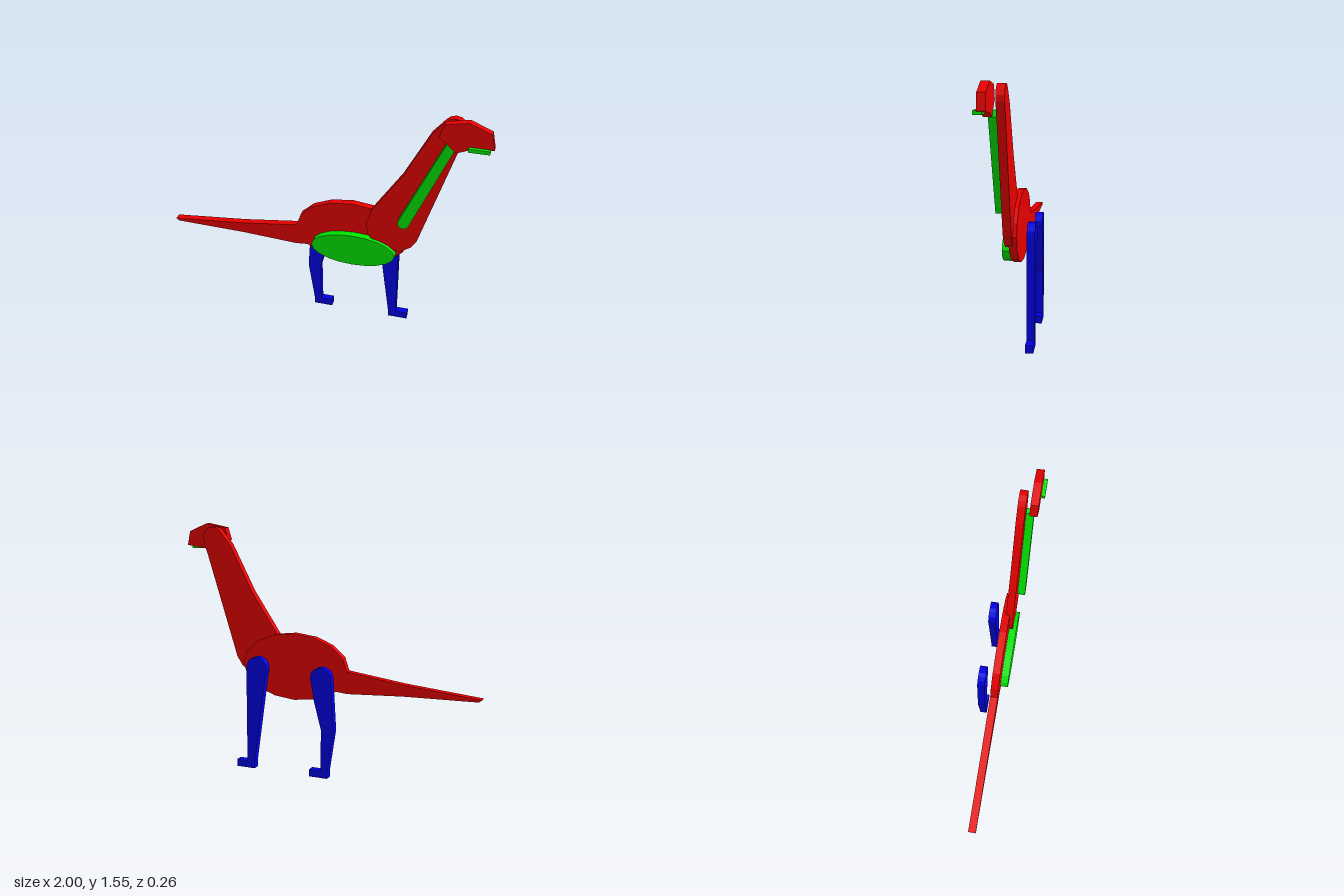
import * as THREE from 'three';

const DEPTH = 0.047; // every part is a plate of the same thickness

const material = (name, color) => {
  const m = new THREE.MeshStandardMaterial({ color });
  m.name = name;
  return m;
};

// Points along an elliptical arc, angles in degrees
function arc(cx, cy, rx, ry, from, to, steps) {
  const pts = [];
  for (let i = 0; i <= steps; i++) {
    const a = THREE.MathUtils.degToRad(from + ((to - from) * i) / steps);
    pts.push([cx + rx * Math.cos(a), cy + ry * Math.sin(a)]);
  }
  return pts;
}

// Flat plate cut from an outline, with its back face at z
function plate(name, outline, z, mat) {
  const shape = new THREE.Shape(outline.map(([x, y]) => new THREE.Vector2(x, y)));
  const geo = new THREE.ExtrudeGeometry(shape, { depth: DEPTH, bevelEnabled: false });
  const mesh = new THREE.Mesh(geo, mat);
  mesh.name = name;
  mesh.position.z = z;
  return mesh;
}

export function createModel() {
  const red = material('red', 0xf00000);
  const green = material('green', 0x00f000);
  const blue = material('blue', 0x0000f0);
  const model = new THREE.Group();
  model.name = 'longNeckedDinosaur';

  // Oval body running into a tapered tail
  const bodyAndTail = [
    ...arc(0.19, 0.669, 0.355, 0.212, -135, 180, 14),
    [-0.53, 0.62], [-1, 0.575], [-0.98, 0.56], [-0.53, 0.55], [-0.17, 0.53], [-0.095, 0.537],
  ];

  // Neck, broad at the shoulder and rounded at the top
  const neck = [
    [0.285, 0.77], [0.298, 0.70], [0.345, 0.635], [0.42, 0.602], [0.5, 0.605],
    [0.565, 0.645], [0.602, 0.70], [0.80, 1.345],
    ...arc(0.765, 1.455, 0.07, 0.075, -10, 140, 6),
    [0.64, 1.42], [0.49, 1.13], [0.31, 0.86],
  ];

  const neckStripe = [
    ...arc(0.52, 0.838, 0.035, 0.036, 160, 345, 7),
    [0.78, 1.36], [0.77, 1.395], [0.735, 1.395],
  ];

  const head = [
    [0.69, 1.445], [0.79, 1.36], [0.855, 1.385], [0.995, 1.405],
    [0.975, 1.495], [0.85, 1.547], [0.715, 1.522],
  ];

  const mouth = [[0.855, 1.385], [0.975, 1.385], [0.975, 1.406], [0.855, 1.406]];

  // Legs with forward-pointing feet and rounded hips
  const hindLeg = [
    [-0.117, 0.31], [-0.075, 0.04], [-0.075, 0], [0.045, 0], [0.045, 0.046],
    [-0.03, 0.046], [-0.035, 0.31], [0.01, 0.48],
    ...arc(-0.03, 0.635, 0.068, 0.066, 0, 180, 8),
  ];
  const frontLeg = [
    [0.36, 0.51], [0.43, 0.04], [0.43, 0], [0.555, 0], [0.555, 0.046], [0.48, 0.046],
    ...arc(0.405, 0.665, 0.07, 0.068, 0, 180, 8),
  ];

  model.add(
    plate('hindLeg', hindLeg, -0.13, blue),
    plate('frontLeg', frontLeg, -0.13, blue),
    plate('bodyAndTail', bodyAndTail, -0.035, red),
    plate('neck', neck, -0.012, red),
    plate('belly', arc(0.21, 0.575, 0.265, 0.106, 0, 342, 19), 0.012, green),
    plate('neckStripe', neckStripe, 0.036, green),
    plate('head', head, 0.06, red),
    plate('mouth', mouth, 0.083, green),
  );
  return model;
}
